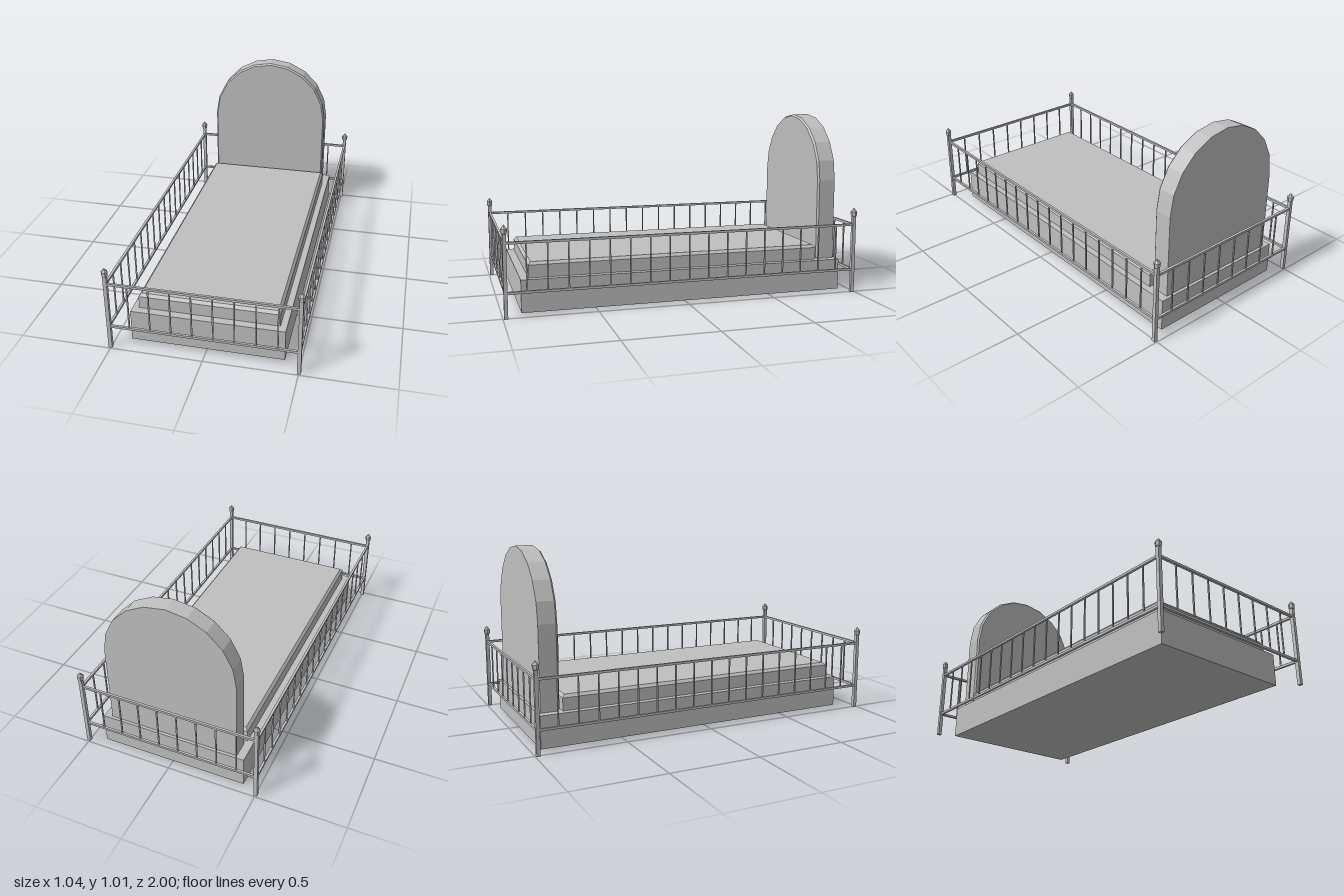
import * as THREE from 'three';
import { ConvexGeometry } from 'three/addons/geometries/ConvexGeometry.js';

const stone = new THREE.MeshStandardMaterial({ color: 0xbfbfbf });
stone.name = 'grey stone';

const POST_X = 0.502, POST_Z = 0.984;

function add(parent, name, geometry, x = 0, y = 0, z = 0) {
  const mesh = new THREE.Mesh(geometry, stone);
  mesh.name = name;
  mesh.position.set(x, y, z);
  parent.add(mesh);
  return mesh;
}

// Box given by its extents on each axis
function block(parent, name, [x0, x1], [y0, y1], [z0, z1]) {
  return add(parent, name, new THREE.BoxGeometry(x1 - x0, y1 - y0, z1 - z0),
    (x0 + x1) / 2, (y0 + y1) / 2, (z0 + z1) / 2);
}

// Convex outline pushed along +z, with one bevelled edge on the front face
function bevelledPlate(outline, depth, bevel, bevelDepth) {
  const box = new THREE.Box2().setFromPoints(outline);
  const c = box.getCenter(new THREE.Vector2());
  const s = box.getSize(new THREE.Vector2());
  const kx = 1 - 2 * bevel / s.x, ky = 1 - 2 * bevel / s.y;
  const points = [];
  for (const p of outline) {
    points.push(new THREE.Vector3(p.x, p.y, 0));
    points.push(new THREE.Vector3(p.x, p.y, depth - bevelDepth));
    points.push(new THREE.Vector3(c.x + (p.x - c.x) * kx, c.y + (p.y - c.y) * ky, depth));
  }
  return new ConvexGeometry(points);
}

// One fence side centred on the origin, running along x
function fenceSide(name, length, bars) {
  const side = new THREE.Group();
  side.name = name;
  for (const y of [0.134, 0.394]) {
    add(side, 'rail', new THREE.BoxGeometry(length, 0.013, 0.013), 0, y, 0);
  }
  const bar = new THREE.BoxGeometry(0.007, 0.25, 0.007);
  for (let i = 1; i <= bars; i++) {
    add(side, 'bar', bar, -length / 2 + length * i / (bars + 1), 0.264, 0);
  }
  return side;
}

export function createModel() {
  const model = new THREE.Group();
  model.name = 'fencedGrave';

  // Plinth
  block(model, 'plinth', [-0.415, 0.415], [0, 0.177], [-0.943, 0.897]);

  // Ledger slab with a bevelled top, laid flat
  const slabOutline = [[-0.38, -0.853], [0.38, -0.853], [0.38, 0.81], [-0.38, 0.81]]
    .map(([x, y]) => new THREE.Vector2(x, y));
  const slab = add(model, 'slab', bevelledPlate(slabOutline, 0.085, 0.014, 0.016), 0, 0.177, 0);
  slab.rotation.x = -Math.PI / 2;

  // Round-topped headstone
  const arch = [new THREE.Vector2(-0.37, 0.177), new THREE.Vector2(0.37, 0.177)];
  for (let i = 0; i <= 10; i++) {
    const a = Math.PI * i / 10;
    arch.push(new THREE.Vector2(0.37 * Math.cos(a), 0.637 + 0.369 * Math.sin(a)));
  }
  add(model, 'headstone', bevelledPlate(arch, 0.105, 0.009, 0.01), 0, 0, -0.927);

  // Fence sides
  for (const s of [-1, 1]) {
    const end = fenceSide(s > 0 ? 'frontFence' : 'backFence', POST_X * 2, 8);
    end.position.z = s * POST_Z;
    const flank = fenceSide(s > 0 ? 'leftFence' : 'rightFence', POST_Z * 2, 17);
    flank.rotation.y = Math.PI / 2;
    flank.position.x = s * POST_X;
    model.add(end, flank);
  }

  // Corner posts with six-sided finials
  const postGeometry = new THREE.BoxGeometry(0.02, 0.443, 0.02);
  const profile = [[0, 0.441], [0.014, 0.441], [0.0165, 0.446], [0.0185, 0.468], [0, 0.49]]
    .map(([r, y]) => new THREE.Vector2(r, y));
  const finialGeometry = new THREE.LatheGeometry(profile, 6, Math.PI / 2).toNonIndexed();
  finialGeometry.computeVertexNormals();
  for (const sx of [-1, 1]) {
    for (const sz of [-1, 1]) {
      add(model, 'post', postGeometry, sx * POST_X, 0.2215, sz * POST_Z);
      add(model, 'finial', finialGeometry, sx * POST_X, 0, sz * POST_Z);
    }
  }
  return model;
}
